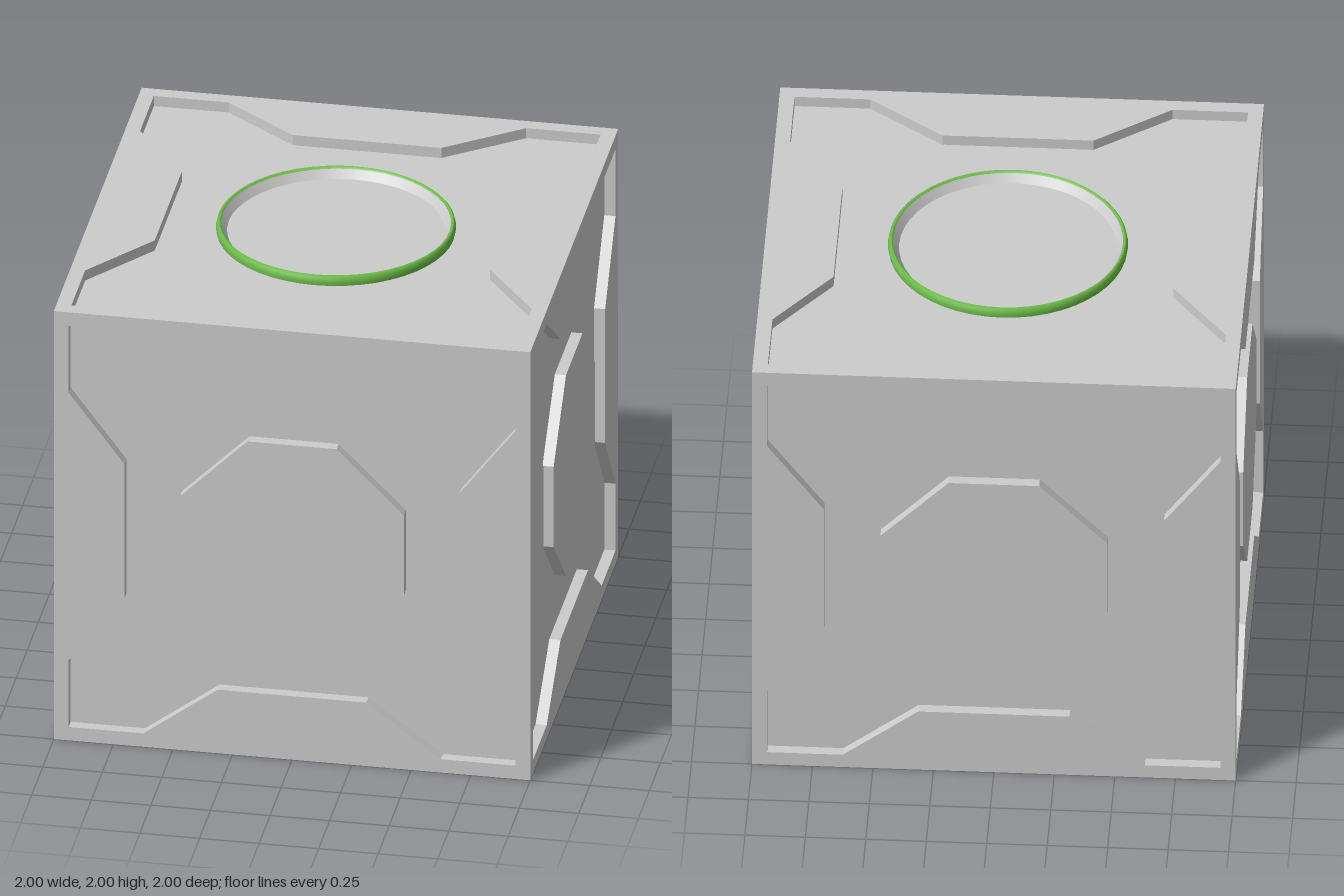
import * as THREE from 'three';

const DEPTH = 0.047;

// Repeats one corner's outline points around the four quarters
function fourfold(quarter) {
  const center = new THREE.Vector2();
  const pts = [];
  for (let i = 0; i < 4; i++) {
    for (const [x, y] of quarter) {
      pts.push(new THREE.Vector2(x, y).rotateAround(center, i * Math.PI / 2));
    }
  }
  return pts;
}

// Inward-facing walls of the recess, following its outline
function wallGeometry(pts, low, high) {
  const v = [];
  pts.forEach((p, i) => {
    const q = pts[(i + 1) % pts.length];
    v.push(p.x, p.y, low, p.x, p.y, high, q.x, q.y, high);
    v.push(p.x, p.y, low, q.x, q.y, high, q.x, q.y, low);
  });
  const g = new THREE.BufferGeometry();
  g.setAttribute('position', new THREE.Float32BufferAttribute(v, 3));
  g.computeVertexNormals();
  return g;
}

export function createModel() {
  const model = new THREE.Group();
  model.name = 'panelledCube';
  const grey = new THREE.MeshStandardMaterial({ color: 0xcccccc, flatShading: true });
  const smoothGrey = new THREE.MeshStandardMaterial({ color: 0xcccccc, side: THREE.DoubleSide });
  const green = new THREE.MeshStandardMaterial({ color: 0x6fbf4a, side: THREE.DoubleSide });

  const add = (parent, name, geometry, material) => {
    const mesh = new THREE.Mesh(geometry, material);
    mesh.name = name;
    parent.add(mesh);
    return mesh;
  };

  // Inner block, whose sides are the recess floors
  const inner = 2 - 2 * DEPTH;
  add(model, 'core', new THREE.BoxGeometry(inner, inner, inner), grey).position.y = 1;

  // Raised frame around a cross-shaped recess
  const recess = fourfold([[0.703, -0.3125], [0.703, 0.3125], [0.9375, 0.625], [0.9375, 0.9375], [0.625, 0.9375], [0.3125, 0.703]]
    .slice(1, 6));
  const frameShape = new THREE.Shape(fourfold([[1, 1]]));
  frameShape.holes.push(new THREE.Path(recess));
  const frameGeo = new THREE.ShapeGeometry(frameShape).translate(0, 0, 1);
  const wallGeo = wallGeometry(recess, 1 - DEPTH, 1);

  // Octagonal boss, level with the frame
  const bossGeo = new THREE.ExtrudeGeometry(
    new THREE.Shape(fourfold([[0.469, 0.1875], [0.1875, 0.469]])),
    { depth: DEPTH + 0.01, bevelEnabled: false }
  ).translate(0, 0, 1 - DEPTH - 0.01);

  const faces = [
    ['front', 0, 0], ['left', 0, Math.PI / 2], ['back', 0, Math.PI], ['right', 0, -Math.PI / 2],
    ['top', -Math.PI / 2, 0], ['bottom', Math.PI / 2, 0]
  ];
  for (const [name, rx, ry] of faces) {
    const face = new THREE.Group();
    face.name = name + 'Panel';
    face.position.y = 1;
    face.rotation.set(rx, ry, 0);
    add(face, name + 'Frame', frameGeo, grey);
    add(face, name + 'RecessWalls', wallGeo, grey);
    if (rx === 0) add(face, name + 'Boss', bossGeo, grey);
    model.add(face);
  }

  // Green ring on the top, with a sloped grey lip inside it
  const lathe = (pts) => new THREE.LatheGeometry(pts.map(([x, y]) => new THREE.Vector2(x, y)), 48);
  const floor = 2 - DEPTH;
  add(model, 'topRing', lathe([[0.493, floor], [0.496, 1.97], [0.492, 1.988], [0.483, 1.998], [0.475, 1.988]]), green);
  add(model, 'ringLip', lathe([[0.475, 1.988], [0.45, floor]]), smoothGrey);

  return model;
}
